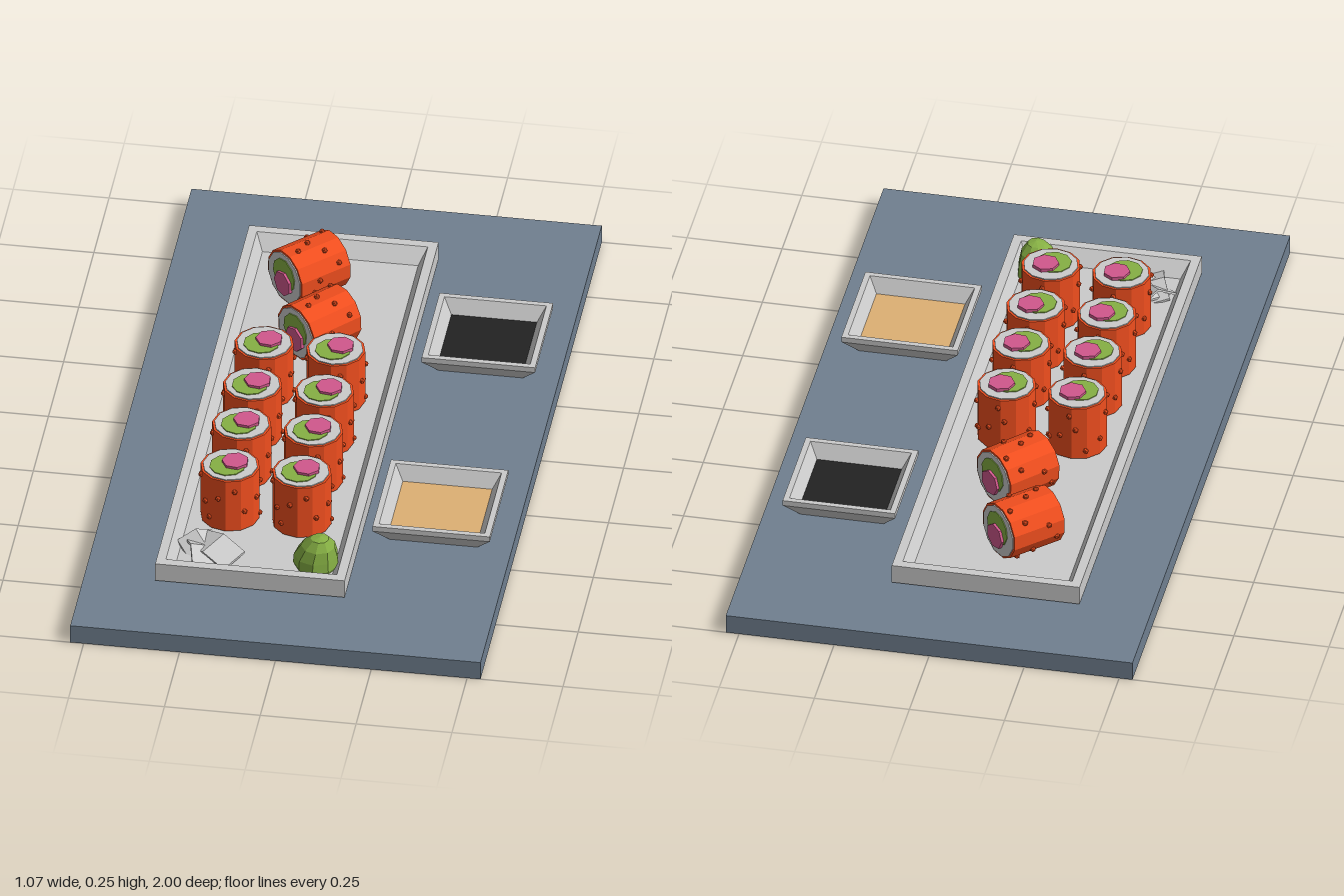
import * as THREE from 'three';

const mat = (color) => new THREE.MeshStandardMaterial({ color, flatShading: true });
const grey = mat(0xcccccc);
const slate = mat(0x708090);
const orange = mat(0xf04e1e);
const green = mat(0x86b044);
const pink = mat(0xd0588c);
const black = mat(0x222222);
const tan = mat(0xdeb074);

function add(parent, name, geometry, material, x = 0, y = 0, z = 0) {
  const mesh = new THREE.Mesh(geometry, material);
  mesh.name = name;
  mesh.position.set(x, y, z);
  parent.add(mesh);
  return mesh;
}

// Rectangular vessel: rings of [halfX, halfZ, y] joined from the outer base, over the rim, to the inner floor
function vesselGeometry(rings) {
  const positions = [];
  const corner = ([hx, hz, y], i) => [[-hx, y, hz], [hx, y, hz], [hx, y, -hz], [-hx, y, -hz]][i % 4];
  const quad = (a, b, c, d) => positions.push(...a, ...b, ...c, ...a, ...c, ...d);
  for (let r = 0; r < rings.length - 1; r++) {
    for (let i = 0; i < 4; i++) {
      quad(corner(rings[r], i), corner(rings[r], i + 1), corner(rings[r + 1], i + 1), corner(rings[r + 1], i));
    }
  }
  const base = rings[0], floor = rings[rings.length - 1];
  quad(...[3, 2, 1, 0].map((i) => corner(base, i)));
  quad(...[0, 1, 2, 3].map((i) => corner(floor, i)));
  const g = new THREE.BufferGeometry();
  g.setAttribute('position', new THREE.Float32BufferAttribute(positions, 3));
  g.computeVertexNormals();
  return g;
}

// Roll centred on its own axis (y): wrap, rice, fillings at both ends and roe bumps
const R = 0.077, H = 0.154;
function makeRoll(name) {
  const roll = new THREE.Group();
  roll.name = name;
  add(roll, 'wrap', new THREE.CylinderGeometry(R, R, H, 12), orange);
  add(roll, 'rice', new THREE.CylinderGeometry(0.071, 0.071, H + 0.006, 12), grey);
  add(roll, 'greenFilling', new THREE.CylinderGeometry(0.047, 0.047, H + 0.011, 10), green, -0.006, 0, 0.007);
  const fish = add(roll, 'pinkFilling', new THREE.CylinderGeometry(0.035, 0.035, H + 0.025, 7), pink, 0.012, 0, -0.008);
  fish.rotation.y = 0.3;
  const bump = new THREE.IcosahedronGeometry(0.008, 0);
  for (let i = 0; i < 16; i++) {
    const a = i * 2.4;
    const y = (((i * 7) % 16) / 15 - 0.5) * H * 0.8;
    add(roll, 'roe', bump, orange, Math.cos(a) * R, y, Math.sin(a) * R);
  }
  return roll;
}

export function createModel() {
  const model = new THREE.Group();
  model.name = 'rollPlatter';

  // Base board
  add(model, 'board', new THREE.BoxGeometry(1.07, 0.052, 2), slate, 0, 0.026, 0);

  // Long serving tray
  add(model, 'tray', vesselGeometry([
    [0.247, 0.775, 0.06], [0.247, 0.775, 0.112], [0.223, 0.75, 0.112], [0.203, 0.715, 0.075],
  ]), grey, -0.102, 0, 0);

  // Sauce dishes
  const dishes = [['darkSauce', black, 0.332, -0.397, 0.148], ['lightSauce', tan, 0.331, 0.372, 0.153]];
  for (const [name, sauce, x, z, h] of dishes) {
    const dish = new THREE.Group();
    dish.name = name + 'Dish';
    dish.position.set(x, 0, z);
    model.add(dish);
    const ring = (half, y) => [half, half, y];
    add(dish, 'dish', vesselGeometry([
      ring(h - 0.038, 0.053), ring(h, 0.1), ring(h, 0.115), ring(h - 0.015, 0.115), ring(h - 0.042, 0.066),
    ]), grey);
    add(dish, name, new THREE.BoxGeometry(2 * h - 0.068, 0.012, 2 * h - 0.068), sauce, 0, 0.07, 0);
  }

  // Two rows of standing rolls
  for (const x of [-0.2, -0.013]) {
    for (const z of [-0.08, 0.11, 0.29, 0.48]) {
      model.add(makeRoll('standingRoll'));
      model.children.at(-1).position.set(x, 0.158, z);
    }
  }

  // Two rolls lying on their sides
  for (const [x, z, angle] of [[-0.158, -0.56, 0.78], [-0.093, -0.32, 0.83]]) {
    const roll = makeRoll('lyingRoll');
    roll.position.set(x, 0.148, z);
    roll.quaternion.setFromUnitVectors(
      new THREE.Vector3(0, 1, 0), new THREE.Vector3(Math.cos(angle), 0, -Math.sin(angle)));
    model.add(roll);
  }

  // Green paste mound with an off-centre tip
  const mound = new THREE.LatheGeometry([
    [0, 0.053], [0.045, 0.053], [0.06, 0.085], [0.058, 0.11], [0.045, 0.142], [0.024, 0.166], [0, 0.172],
  ].map(([r, y]) => new THREE.Vector2(r, y)), 9);
  const p = mound.attributes.position;
  for (let i = 0; i < p.count; i++) {
    const lean = Math.max(0, p.getY(i) - 0.11) * 0.2;
    p.setX(i, p.getX(i) + lean);
    p.setZ(i, p.getZ(i) + lean);
  }
  add(model, 'pasteMound', mound, green, 0.053, 0, 0.66);

  // Thin curled slices heaped in the tray corner
  const slices = [
    [-0.215, 0.094, 0.65, 0.62, 0.22, 0.14],
    [-0.24, 0.085, 0.655, 1.25, -0.25, 0.13],
    [-0.25, 0.087, 0.63, -0.65, 0.3, 0.1],
  ];
  for (const [x, y, z, turn, tilt, length] of slices) {
    const g = new THREE.BoxGeometry(length, 0.006, 0.08, 4, 1, 1);
    const v = g.attributes.position;
    for (let i = 0; i < v.count; i++) {
      v.setY(i, v.getY(i) + 0.012 * Math.cos((v.getX(i) / length) * Math.PI * 2));
    }
    const slice = add(model, 'pickledSlice', g, grey, x, y, z);
    slice.rotation.set(tilt, -turn, 0, 'YXZ');
  }

  return model;
}
